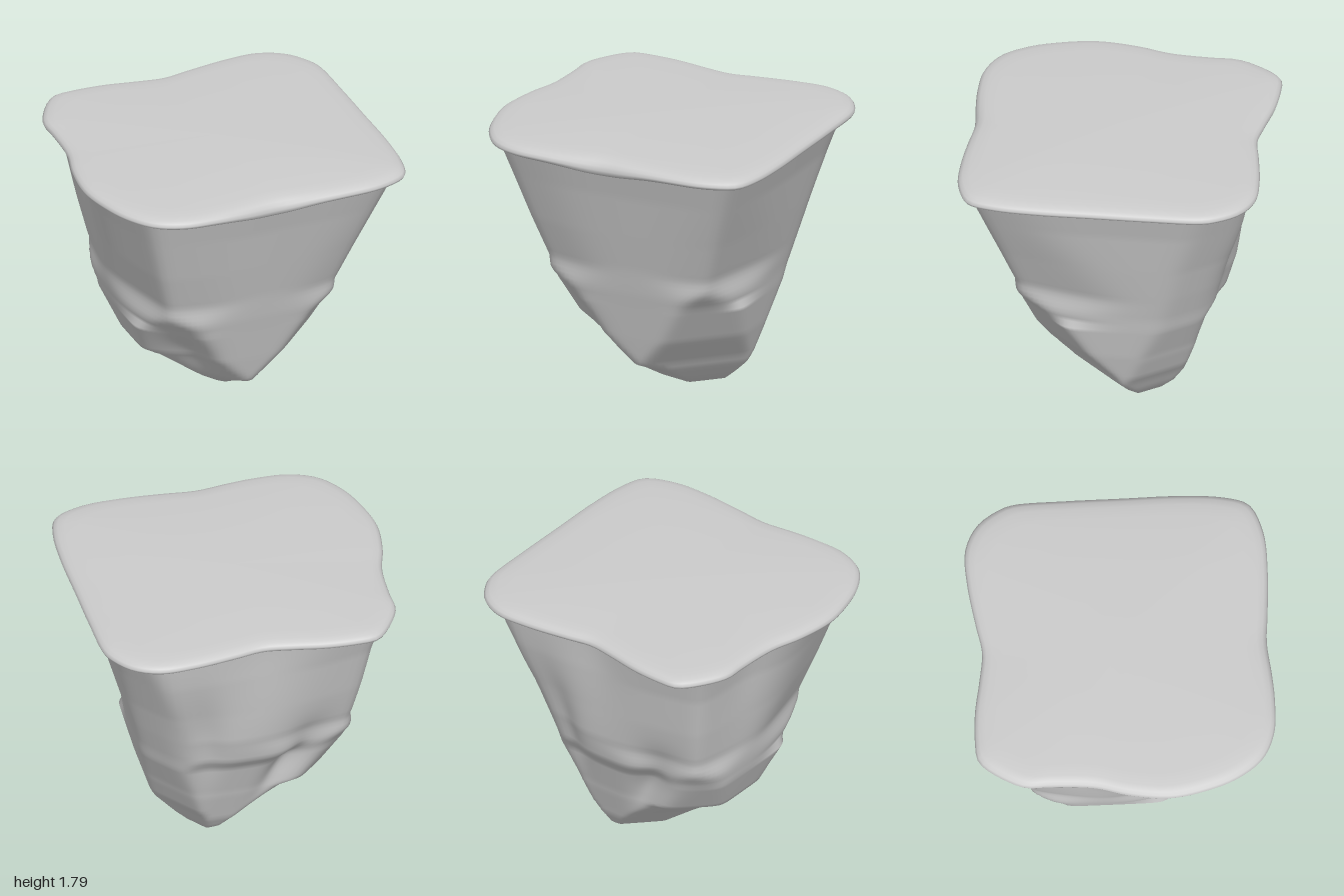
import * as THREE from 'three';

const N = 144; // segments around
const material = new THREE.MeshStandardMaterial({ color: 0xcccccc });

// Skin a list of closed rings, ordered from the top centre down to the bottom centre
function loft(name, rings) {
  const pos = [], idx = [];
  rings.forEach(r => r.forEach(p => pos.push(p.x, p.y, p.z)));
  for (let i = 0; i < rings.length - 1; i++) {
    for (let j = 0; j < N; j++) {
      const a = i * N + j, b = i * N + (j + 1) % N;
      idx.push(a, a + N, b, b, a + N, b + N);
    }
  }
  const g = new THREE.BufferGeometry();
  g.setAttribute('position', new THREE.Float32BufferAttribute(pos, 3));
  g.setIndex(idx);
  g.computeVertexNormals();
  const mesh = new THREE.Mesh(g, material);
  mesh.name = name;
  return mesh;
}

const bell = (v, c, w) => Math.exp(-(((v - c) / w) ** 2));

// Body: each row is a height and the reach of eight bounding planes there:
// y, front, frontRight, right, backRight, back, backLeft, left, frontLeft (right = +x)
const rows = [
  [1.72, 0.885, 1.19, 0.945, 1.12, 0.895, 1.09, 0.945, 1.09],
  [1.50, 0.81, 1.08, 0.875, 1.03, 0.86, 1.01, 0.86, 1.00],
  [1.20, 0.72, 0.93, 0.80, 0.91, 0.80, 0.93, 0.77, 0.88],
  [0.97, 0.65, 0.82, 0.74, 0.83, 0.76, 0.86, 0.715, 0.78],
  [0.78, 0.60, 0.72, 0.69, 0.76, 0.70, 0.78, 0.67, 0.69],
  [0.68, 0.57, 0.66, 0.67, 0.73, 0.62, 0.73, 0.645, 0.63],
  [0.45, 0.505, 0.52, 0.615, 0.62, 0.535, 0.58, 0.55, 0.49],
  [0.40, 0.49, 0.48, 0.60, 0.60, 0.52, 0.48, 0.45, 0.44],
  [0.25, 0.445, 0.355, 0.555, 0.53, 0.465, 0.31, 0.25, 0.30],
  [0.18, 0.28, 0.31, 0.53, 0.48, 0.44, 0.24, 0.16, 0.21],
  [0.08, 0.11, 0.21, 0.41, 0.42, 0.375, 0.14, 0.03, 0.06],
  [0.02, 0.01, 0.13, 0.34, 0.37, 0.30, 0.05, -0.11, -0.09],
  [0.00, -0.09, 0.08, 0.30, 0.34, 0.26, 0.01, -0.18, -0.17],
];
const planeAngles = [0, 0.785, 1.571, 2.2, 3.142, 3.927, 4.712, 5.498];
const creased = [1, 5, 7]; // corners that turn from a flat cut into a sharp crease higher up

// Hollows pressed into the body: angle, angular width, height, vertical width, depth
const hollows = [
  [5.50, 0.24, 0.46, 0.18, 0.10], // front left overhang
  [3.62, 0.20, 0.64, 0.26, 0.16], // back left recess
  [2.66, 0.17, 0.95, 0.40, 0.08], // groove on the back
  [3.14, 0.30, 1.75, 0.50, 0.06], // waist under the back rim
  [4.35, 0.28, 1.75, 0.60, 0.08], // waist under the left rim
];

// Bounding planes [normal x, normal z, distance] at one height
function planesAt(row) {
  const sharp = THREE.MathUtils.smoothstep(row[0], 0.7, 0.95);
  const planes = [];
  planeAngles.forEach((a, i) => {
    const d = row[i + 1], crease = creased.includes(i);
    planes.push([Math.sin(a), Math.cos(a), crease ? d * (1 + 0.1 * sharp) : d]);
    if (!crease || sharp === 0) return;
    for (const side of [-0.55, 0.55]) {
      const reach = d * Math.cos(side) * (1.02 + 0.15 * (1 - sharp));
      planes.push([Math.sin(a + side), Math.cos(a + side), reach]);
    }
  });
  return planes;
}

function bodyRing(row) {
  const y = row[0], planes = planesAt(row);
  const k = THREE.MathUtils.clamp(1 - y / 0.8, 0, 1);
  const cx = 0.23 * k, cz = -0.17 * k; // axis leans toward the low tip
  return Array.from({ length: N }, (_, j) => {
    const t = (j / N) * Math.PI * 2, s = Math.sin(t), c = Math.cos(t);
    const sum = planes.reduce((m, [nx, nz, reach]) => {
      const d = Math.max(reach - nx * cx - nz * cz, 0.02);
      return m + Math.max((s * nx + c * nz) / d, 0) ** 36;
    }, 0);
    const dent = hollows.reduce(
      (m, [a, aw, h, hw, depth]) => m - depth * bell(t, a, aw) * bell(y, h, hw), 1);
    const r = sum ** (-1 / 36) * dent;
    return new THREE.Vector3(cx + s * r, y, cz + c * r);
  });
}

function makeBody() {
  const rings = [];
  rows.forEach((row, i) => {
    const next = rows[i + 1];
    const steps = next ? Math.max(2, Math.round((row[0] - next[0]) / 0.03)) : 1;
    for (let q = 0; q < steps; q++) {
      rings.push(bodyRing(next ? row.map((v, n) => v + (next[n] - v) * q / steps) : row));
    }
  });
  rings.push(Array.from({ length: N }, () => new THREE.Vector3(0.23, 0, -0.18)));
  return loft('taperedBody', rings);
}

// Lid outline (x, z), front then right, back and left
const outline = [
  [0.01, 0.905], [0.2, 0.92], [0.5, 0.935], [0.71, 0.925], [0.88, 0.87], [0.935, 0.82],
  [0.98, 0.66], [1, 0.4], [1, 0.05], [1, -0.3], [0.99, -0.63], [0.96, -0.72], [0.86, -0.86],
  [0.7, -0.94], [0.48, -0.94], [0.2, -0.9], [0.02, -0.87], [-0.16, -0.895], [-0.38, -0.935],
  [-0.6, -0.945], [-0.69, -0.935], [-0.75, -0.89], [-0.86, -0.72], [-0.89, -0.63],
  [-0.89, -0.5], [-0.91, -0.22], [-0.97, 0], [-1, 0.26], [-0.96, 0.49], [-0.89, 0.68],
  [-0.77, 0.84], [-0.6, 0.92], [-0.38, 0.935], [-0.2, 0.925],
];

function makeLid() {
  const curve = new THREE.CatmullRomCurve3(
    outline.map(([x, z]) => new THREE.Vector3(x, 0, z)), true);
  const edge = curve.getSpacedPoints(N).slice(0, N);
  // Scale from the centre and height of each ring, rolled over the rim
  const profile = [[0, 1.79], [0.3, 1.788], [0.6, 1.783], [0.85, 1.772], [0.93, 1.765], [0.97, 1.755],
    [0.99, 1.742], [1, 1.725], [0.995, 1.71], [0.98, 1.70], [0.95, 1.69], [0.91, 1.685], [0.6, 1.70], [0, 1.70]];
  return loft('topSlab', profile.map(([s, y], i) => edge.map(p => {
    // The underside sags at the middle of the front; the rim tips slightly to the front
    const under = THREE.MathUtils.clamp((i - 4) / 5, 0, 1);
    const sag = -0.04 * bell(p.x, 0, 0.28) * (p.z > 0.5 ? 1 : 0) * under;
    return new THREE.Vector3(p.x * s, y + s ** 4 * (sag - 0.006 * p.z - 0.004 * p.x), p.z * s);
  })));
}

export function createModel() {
  const group = new THREE.Group();
  group.name = 'floatingRock';
  group.add(makeBody(), makeLid());
  return group;
}
